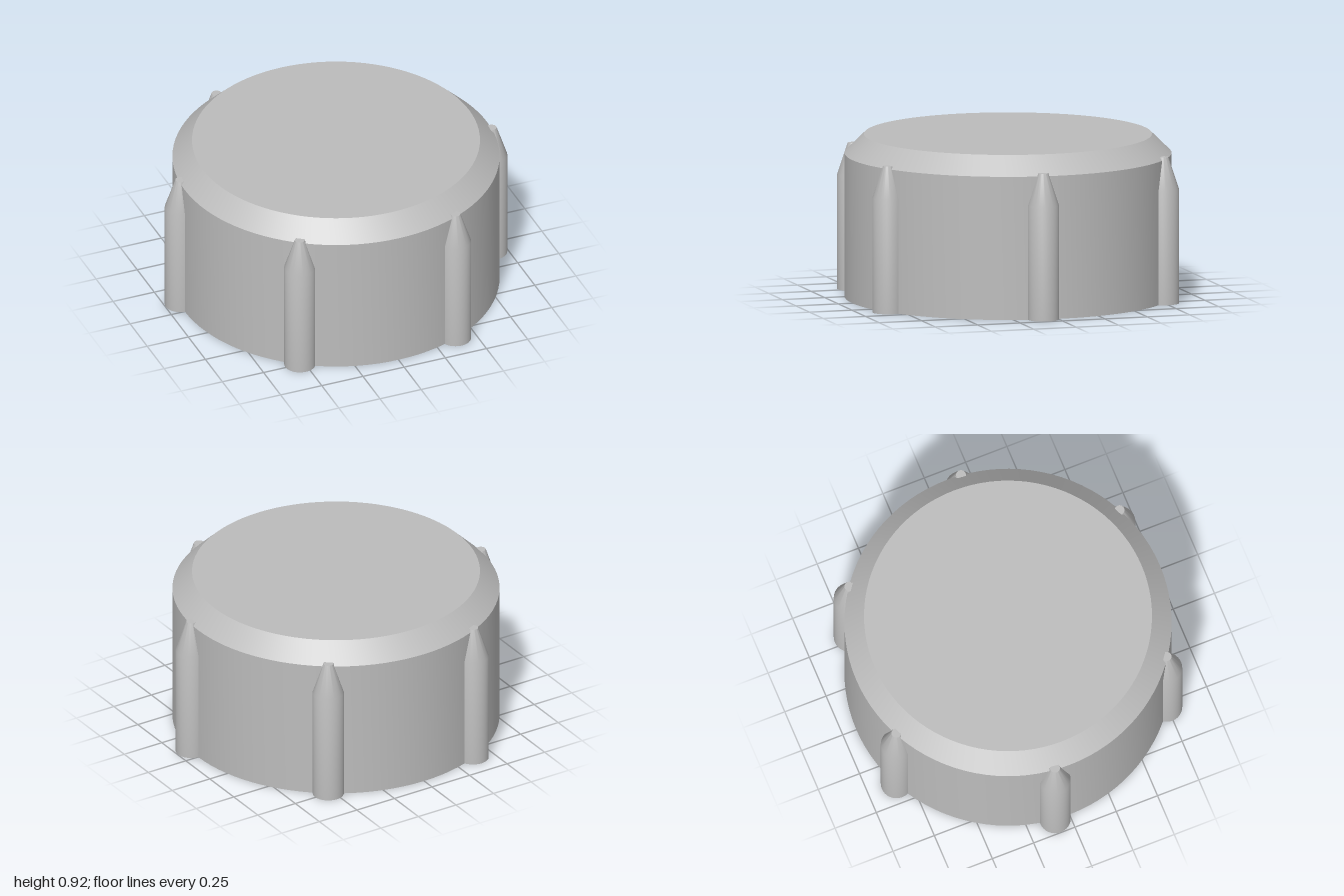
import * as THREE from 'three';
import { toCreasedNormals } from 'three/addons/utils/BufferGeometryUtils.js';

const plasticGrey = new THREE.MeshStandardMaterial({ name: 'plasticGrey', color: 0xbcbcbc });

// Revolve [radius, height] pairs into a solid with sharp rims and smooth sides
function turned(name, profile, segments) {
  const points = profile.map(([r, y]) => new THREE.Vector2(r, y));
  const geometry = toCreasedNormals(new THREE.LatheGeometry(points, segments), 0.4);
  const mesh = new THREE.Mesh(geometry, plasticGrey);
  mesh.name = name;
  return mesh;
}

export function createModel() {
  const knob = new THREE.Group();
  knob.name = 'knob';

  // Chamfered cap with a blind shaft hole in the underside
  knob.add(turned('knobBody', [
    [0, 0.6], [0.23, 0.6], [0.23, 0],
    [0.918, 0], [0.918, 0.812], [0.808, 0.92], [0, 0.92],
  ], 96));

  // Six pointed grip ribs set into the rim
  const ribCount = 6, ribOrbit = 0.914, firstAngle = THREE.MathUtils.degToRad(5.3);
  for (let i = 0; i < ribCount; i++) {
    const angle = firstAngle + (i * Math.PI * 2) / ribCount;
    const rib = turned('gripRib' + (i + 1), [
      [0, 0], [0.088, 0], [0.088, 0.648], [0.028, 0.829], [0, 0.829],
    ], 32);
    rib.position.set(Math.cos(angle) * ribOrbit, 0, Math.sin(angle) * ribOrbit);
    knob.add(rib);
  }
  return knob;
}
